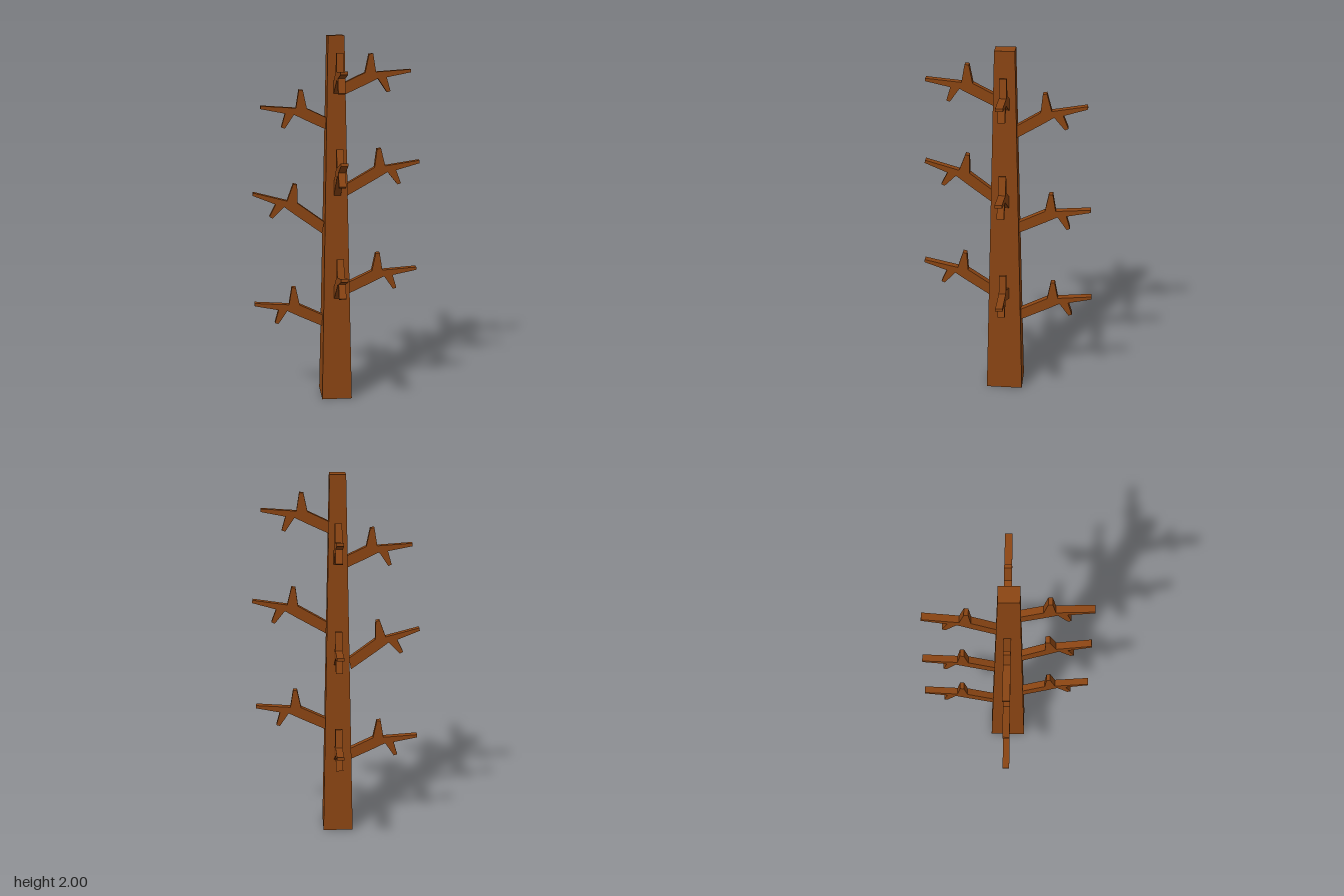
import * as THREE from 'three';

const bark = new THREE.MeshStandardMaterial({ color: 0x8b4513, flatShading: true });

// Square trunk tapering evenly to a smaller flat top
function createTrunk() {
  const height = 2;
  const geometry = new THREE.BoxGeometry(1, height, 1).translate(0, height / 2, 0);
  const p = geometry.attributes.position;
  for (let i = 0; i < p.count; i++) {
    const t = p.getY(i) / height;
    p.setX(i, p.getX(i) * THREE.MathUtils.lerp(0.165, 0.087, t) - 0.007);
    p.setZ(i, p.getZ(i) * THREE.MathUtils.lerp(0.203, 0.107, t) + 0.0165);
  }
  geometry.computeVertexNormals();
  const trunk = new THREE.Mesh(geometry, bark);
  trunk.name = 'trunk';
  return trunk;
}

// Flat bent branch with one upper and one lower twig; its tip is at the origin
function createBranchGeometry() {
  const thickness = 0.038;
  const outline = [
    [-0.411, -0.149], [-0.243, -0.071], [-0.18, -0.04],             // underside
    [-0.13, -0.114], [-0.111, -0.108], [-0.132, -0.034],            // lower twig
    [0, -0.008], [0, 0.008],                                        // tip
    [-0.19, -0.005], [-0.206, 0.093], [-0.228, 0.091], [-0.249, -0.008], // upper twig
    [-0.411, -0.085],                                               // root
  ].map(([x, y]) => new THREE.Vector2(x, y));
  return new THREE.ExtrudeGeometry(new THREE.Shape(outline), { depth: thickness, bevelEnabled: false })
    .translate(0, 0, -thickness / 2);
}

// Per side: yaw in quarter turns, then [tip reach, tip height, pitch in degrees]
const sides = [
  { name: 'leftBranch', turn: 0, branches: [[0.445, 0.715, 0], [0.455, 1.315, 4.6], [0.402, 1.81, 0]] },
  { name: 'backBranch', turn: 1, branches: [[0.47, 0.577, 1.5], [0.45, 1.11, 0.5], [0.418, 1.7, 6]] },
  { name: 'rightBranch', turn: 2, branches: [[0.455, 0.53, 0], [0.457, 1.15, 10.8], [0.41, 1.62, 0]] },
  { name: 'frontBranch', turn: 3, branches: [[0.47, 0.77, 8.5], [0.45, 1.37, 12], [0.434, 1.83, 1.3]] },
];

export function createModel() {
  const tree = new THREE.Group();
  tree.name = 'bareTree';
  tree.add(createTrunk());

  const geometry = createBranchGeometry();
  for (const { name, turn, branches } of sides) {
    const yaw = turn * Math.PI / 2;
    branches.forEach(([reach, height, pitch], i) => {
      const branch = new THREE.Mesh(geometry, bark);
      branch.name = name + (i + 1);
      branch.rotation.set(0, yaw, THREE.MathUtils.degToRad(pitch));
      // Side branches sit slightly forward of centre, front and back ones slightly right
      const alongX = turn % 2 === 0;
      branch.position.set(
        alongX ? Math.cos(yaw) * reach : -0.003,
        height,
        alongX ? 0.01 : -Math.sin(yaw) * reach,
      );
      tree.add(branch);
    });
  }
  return tree;
}
